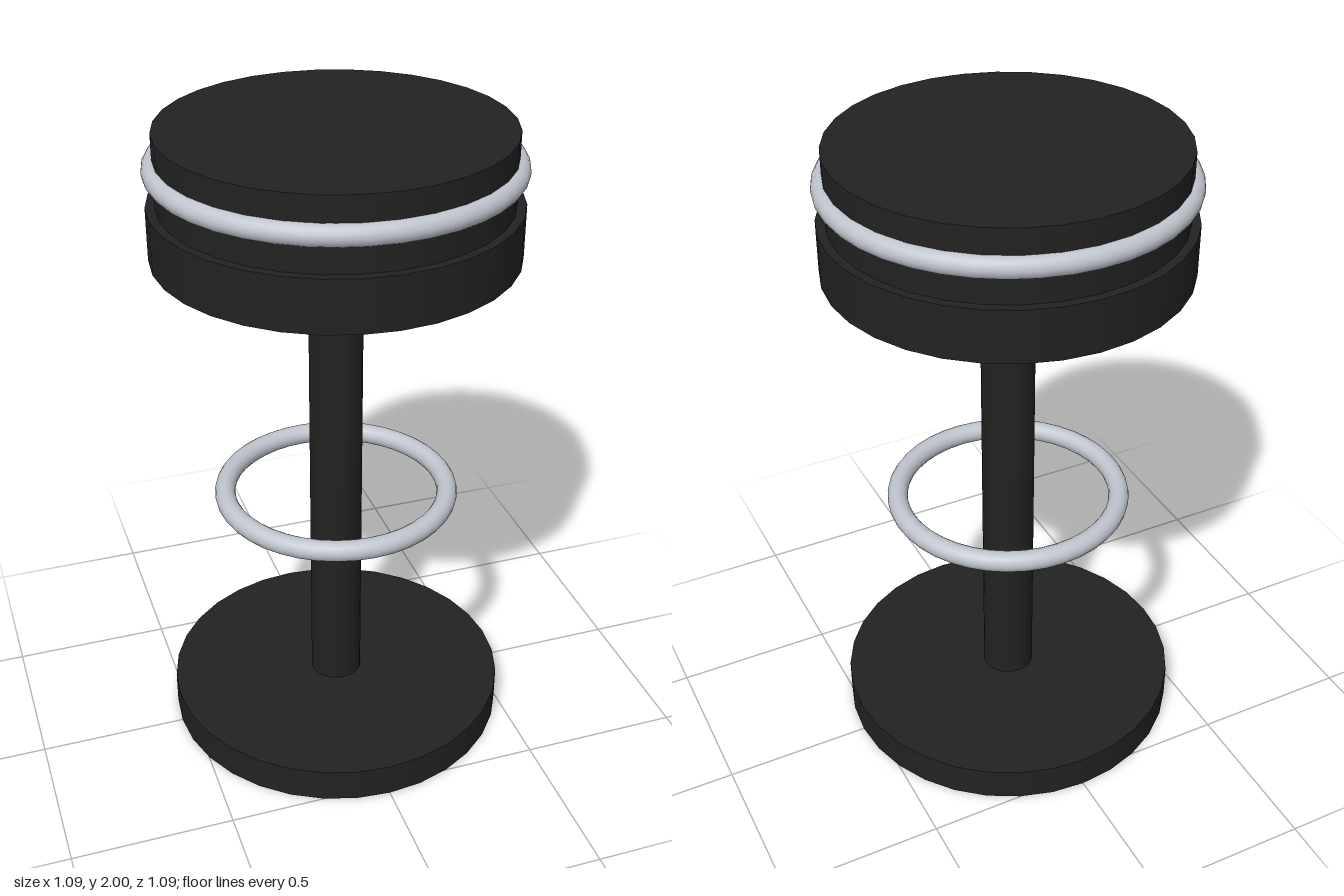
import * as THREE from 'three';

export function createModel() {
  const stool = new THREE.Group();
  stool.name = 'barStool';

  const black = new THREE.MeshStandardMaterial({ color: 0x222222 });
  black.name = 'black';
  const chrome = new THREE.MeshStandardMaterial({ color: 0xc0c5ce });
  chrome.name = 'chrome';

  // Upright disc or post between two heights
  function disc(name, radius, bottom, top) {
    const mesh = new THREE.Mesh(new THREE.CylinderGeometry(radius, radius, top - bottom, 32), black);
    mesh.name = name;
    mesh.position.y = (bottom + top) / 2;
    stool.add(mesh);
  }

  // Horizontal round-section hoop
  function hoop(name, radius, y) {
    const geometry = new THREE.TorusGeometry(radius, 0.032, 16, 40).rotateX(-Math.PI / 2);
    const mesh = new THREE.Mesh(geometry, chrome);
    mesh.name = name;
    mesh.position.y = y;
    stool.add(mesh);
  }

  disc('base', 0.54, 0, 0.108);
  disc('column', 0.082, 0.108, 1.625);
  disc('seatPan', 0.54, 1.625, 1.784);
  disc('cushion', 0.513, 1.784, 2);

  hoop('footRing', 0.35, 0.813);
  hoop('seatTrim', 0.513, 1.893);

  return stool;
}
